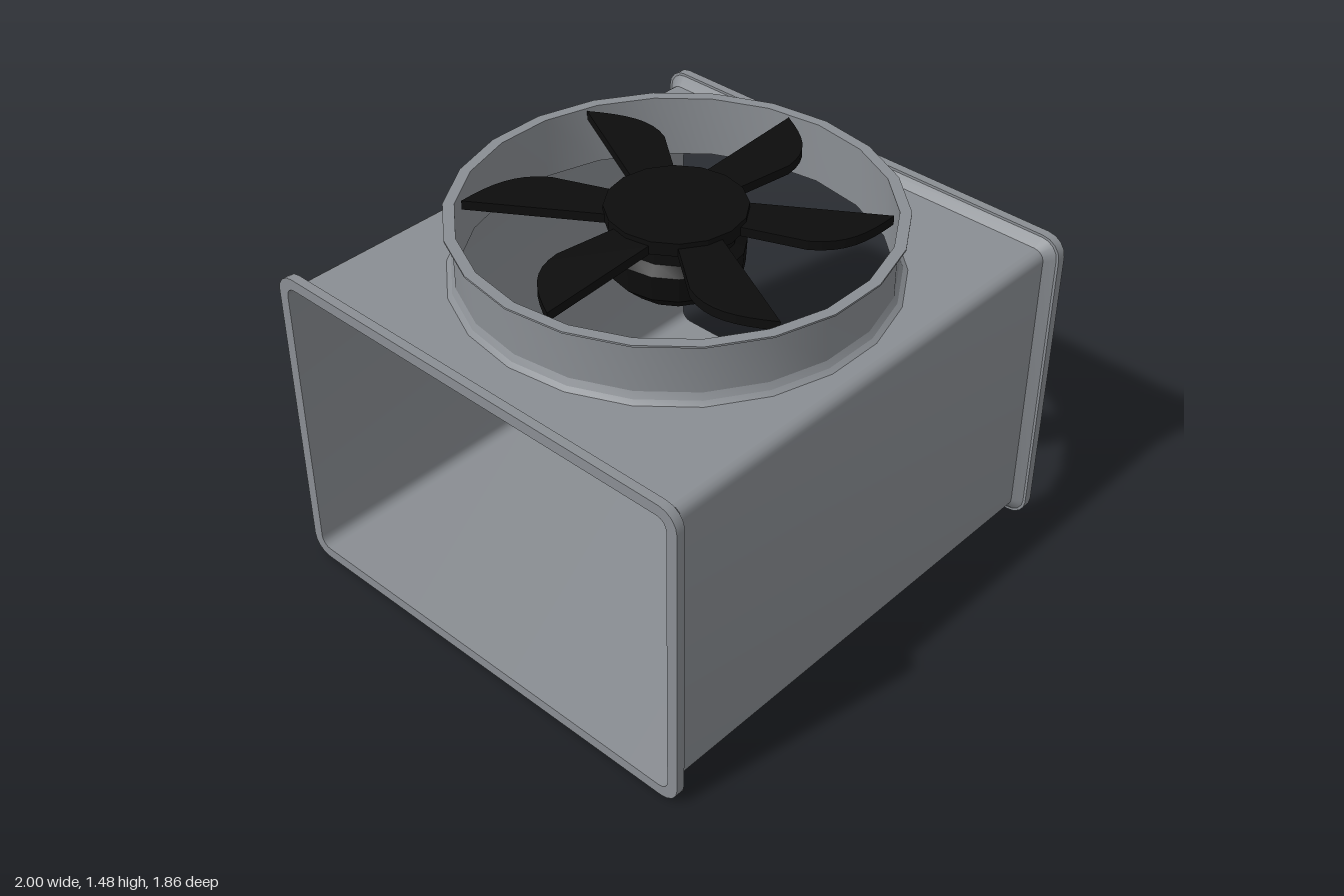
import * as THREE from 'three';
import { toCreasedNormals } from 'three/addons/utils/BufferGeometryUtils.js';

const steel = new THREE.MeshStandardMaterial({ color: 0x8a8e93, side: THREE.DoubleSide });
const black = new THREE.MeshStandardMaterial({ color: 0x0d0d0d, side: THREE.DoubleSide });

const HZ = 0.888, Y0 = 0.043, Y1 = 1.222, R = 0.04;

// Rounded rectangle in the z/y plane grown by d, from the top +z corner round the bottom to the top -z corner
function section(d) {
  const pts = [], steps = 4;
  const corners = [[1, Y1 - R, 0.5], [1, Y0 + R, 0], [-1, Y0 + R, -0.5], [-1, Y1 - R, -1]];
  for (const [side, cy, start] of corners) {
    for (let i = 0; i <= steps; i++) {
      const a = (start - 0.5 * i / steps) * Math.PI, r = R + d * 0.8;
      pts.push([side * (HZ - R) + side * d * 0.2 + r * Math.cos(a),
        cy + (cy > 0.6 ? 1 : -1) * d * 0.2 + r * Math.sin(a)]);
    }
  }
  return pts;
}

// Skin over rows of [x, growth]; closed joins the last point to the first
function skin(rows, closed) {
  const pos = [], index = [];
  let n = 0;
  for (const [x, d] of rows) {
    const pts = section(d);
    n = pts.length;
    for (const [z, y] of pts) pos.push(x, y, z);
  }
  for (let r = 0; r < rows.length - 1; r++) {
    for (let i = 0; i < (closed ? n : n - 1); i++) {
      const a = r * n + i, b = r * n + (i + 1) % n;
      index.push(a, a + n, b, b, a + n, b + n);
    }
  }
  const g = new THREE.BufferGeometry();
  g.setAttribute('position', new THREE.Float32BufferAttribute(pos, 3));
  g.setIndex(index);
  return toCreasedNormals(g, 0.5);
}

function lathe(points, sides) {
  const pts = points.map(([r, y]) => new THREE.Vector2(r, y));
  return toCreasedNormals(new THREE.LatheGeometry(pts, sides, Math.PI / 2), 0.35);
}

export function createModel() {
  const model = new THREE.Group();
  const add = (name, geometry, material, parent = model) => {
    const mesh = new THREE.Mesh(geometry, material);
    mesh.name = name;
    parent.add(mesh);
    return mesh;
  };

  // Duct walls, open at both ends
  add('ductWalls', skin([[1, 0], [-1, 0]], false), steel);

  // Top panel with the fan opening
  const top = new THREE.Shape();
  const w = HZ - R;
  top.moveTo(-1, -w).lineTo(1, -w).lineTo(1, w).lineTo(-1, w).closePath();
  const hole = new THREE.Path();
  for (let i = 0; i < 22; i++) {
    const a = -i / 22 * Math.PI * 2;
    hole[i ? 'lineTo' : 'moveTo'](0.757 * Math.cos(a), 0.757 * Math.sin(a));
  }
  hole.closePath();
  top.holes.push(hole);
  add('ductTop', new THREE.ShapeGeometry(top).rotateX(-Math.PI / 2).translate(0, Y1, 0), steel);

  // Flared end flanges
  for (const s of [1, -1]) {
    const rows = [[1, 0], [1, 0.043], [0.965, 0.043], [0.965, 0.033], [0.933, 0]];
    add(s > 0 ? 'leftFlange' : 'rightFlange', skin(rows.map(([x, d]) => [s * x, d]), true), steel);
  }

  // Fan collar with flared foot and thin lip
  add('fanCollar', lathe([
    [0.8, 1.222], [0.783, 1.235], [0.77, 1.258], [0.77, 1.44], [0.798, 1.45],
    [0.798, 1.457], [0.757, 1.457], [0.757, 1.222],
  ], 22), steel);

  // Fan
  const fan = new THREE.Group();
  fan.name = 'fan';
  model.add(fan);
  add('hubAndMotor', lathe([
    [0, 1.135], [0.122, 1.135], [0.122, 1.172], [0.175, 1.172], [0.24, 1.235], [0.245, 1.33],
    [0.21, 1.36], [0.21, 1.4], [0.25, 1.425], [0.25, 1.475], [0, 1.475],
  ], 16), black, fan);

  // Six swept blades
  const outline = new THREE.Shape();
  outline.moveTo(0.19, -0.088).lineTo(0.235, -0.09).lineTo(0.727, -0.118);
  outline.bezierCurveTo(0.66, 0.01, 0.6, 0.09, 0.47, 0.1);
  outline.lineTo(0.235, 0.067).lineTo(0.19, 0.062).closePath();
  const blade = new THREE.ExtrudeGeometry(outline, { depth: 0.035, bevelEnabled: false, curveSegments: 8 });
  blade.rotateX(Math.PI / 2).translate(0, 1.456, 0);
  for (let i = 0; i < 6; i++) {
    add('blade' + (i + 1), blade, black, fan).rotation.y = i * Math.PI / 3;
  }
  return model;
}
